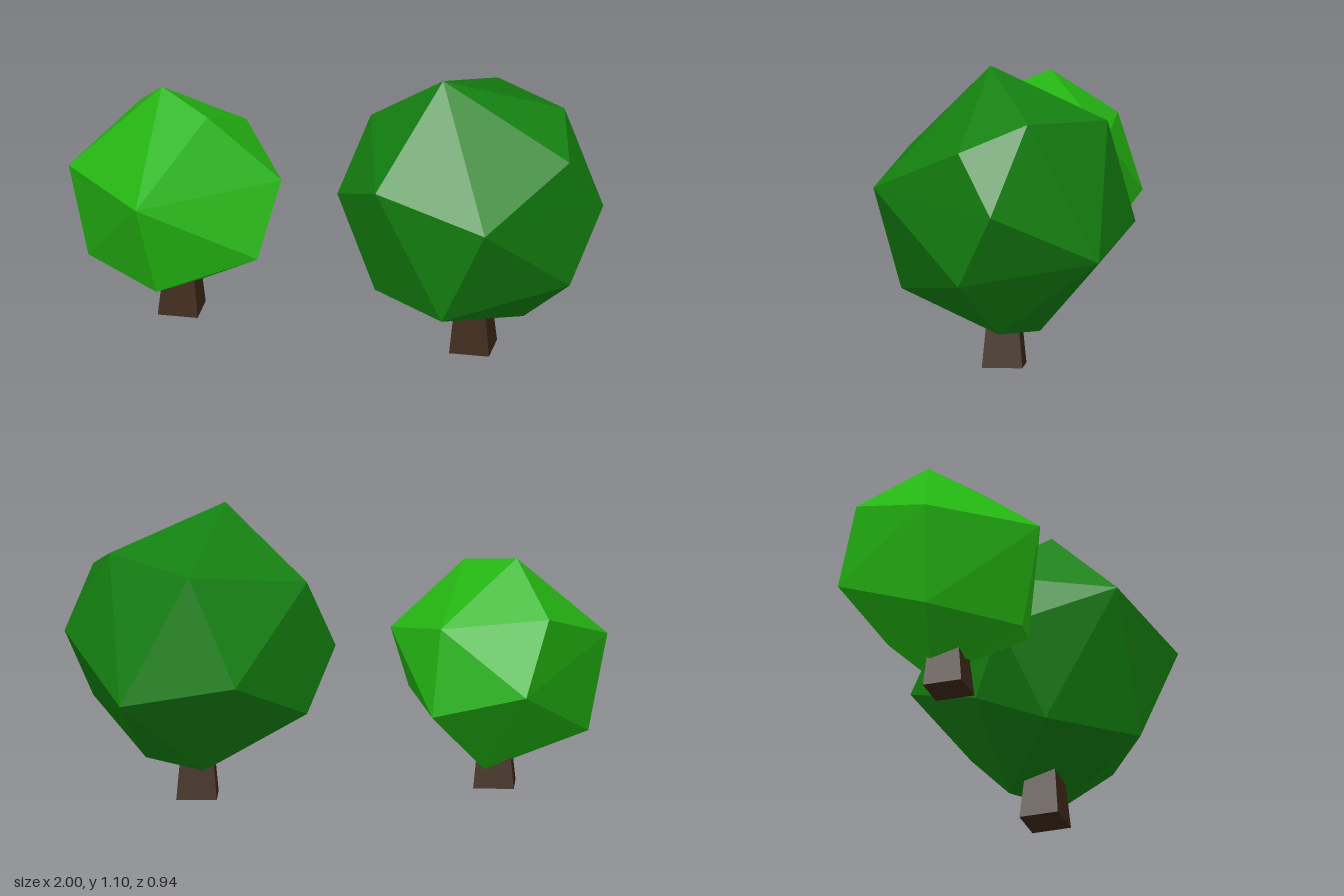
import * as THREE from 'three';
import { ConvexGeometry } from 'three/addons/geometries/ConvexGeometry.js';

const material = (color) => new THREE.MeshStandardMaterial({ color, flatShading: true });
const bark = material(0x3d2817);

// Faceted crown: the convex skin around a few corner points
function makeCrown(points, color) {
  const geometry = new ConvexGeometry(points.map((p) => new THREE.Vector3(...p)));
  const crown = new THREE.Mesh(geometry, material(color));
  crown.name = 'crown';
  return crown;
}

// Square trunk, slightly narrower at the top
function makeTrunk(x, base, height) {
  const geometry = new THREE.CylinderGeometry(0.055 * Math.SQRT2, 0.075 * Math.SQRT2, height, 4);
  geometry.rotateY(Math.PI / 4);
  const trunk = new THREE.Mesh(geometry, bark);
  trunk.position.set(x, base + height / 2, 0);
  trunk.name = 'trunk';
  return trunk;
}

function makeTree(name, crown, trunk) {
  const tree = new THREE.Group();
  tree.name = name;
  tree.add(crown, trunk);
  return tree;
}

export function createModel() {
  const model = new THREE.Group();
  model.name = 'trees';

  // Corners run from the top of each crown to the bottom
  const largeCrown = makeCrown([
    [0.41, 1.1, 0.06], [0.83, 0.945, -0.12], [0.525, 0.92, -0.385],
    [0.9, 0.845, 0.13], [0.1, 0.845, -0.13], [0.22, 0.77, 0.38],
    [0.65, 0.675, 0.47], [1, 0.62, 0], [0, 0.575, 0],
    [0.35, 0.52, -0.47], [0.78, 0.425, -0.38], [0.9, 0.345, 0.13],
    [0.1, 0.345, -0.13], [0.47, 0.275, 0.385], [0.165, 0.255, 0.12],
    [0.7, 0.142, 0], [0.48, 0.125, -0.13],
  ], 0x148010);

  const smallCrown = makeCrown([
    [-0.67, 0.925, -0.05], [-0.47, 0.885, 0.095], [-0.8, 0.75, -0.285],
    [-0.4, 0.71, -0.285], [-0.2, 0.635, 0.05], [-0.68, 0.62, 0.39],
    [-1, 0.62, 0.05], [-0.72, 0.475, -0.385], [-0.37, 0.38, -0.31],
    [-0.26, 0.375, 0.2], [-0.62, 0.255, 0.3], [-0.93, 0.255, 0.03],
    [-0.55, 0.13, -0.08],
  ], 0x24b512);

  model.add(
    makeTree('largeTree', largeCrown, makeTrunk(0.51, 0, 0.22)),
    makeTree('smallTree', smallCrown, makeTrunk(-0.585, 0.055, 0.2)),
  );
  return model;
}
